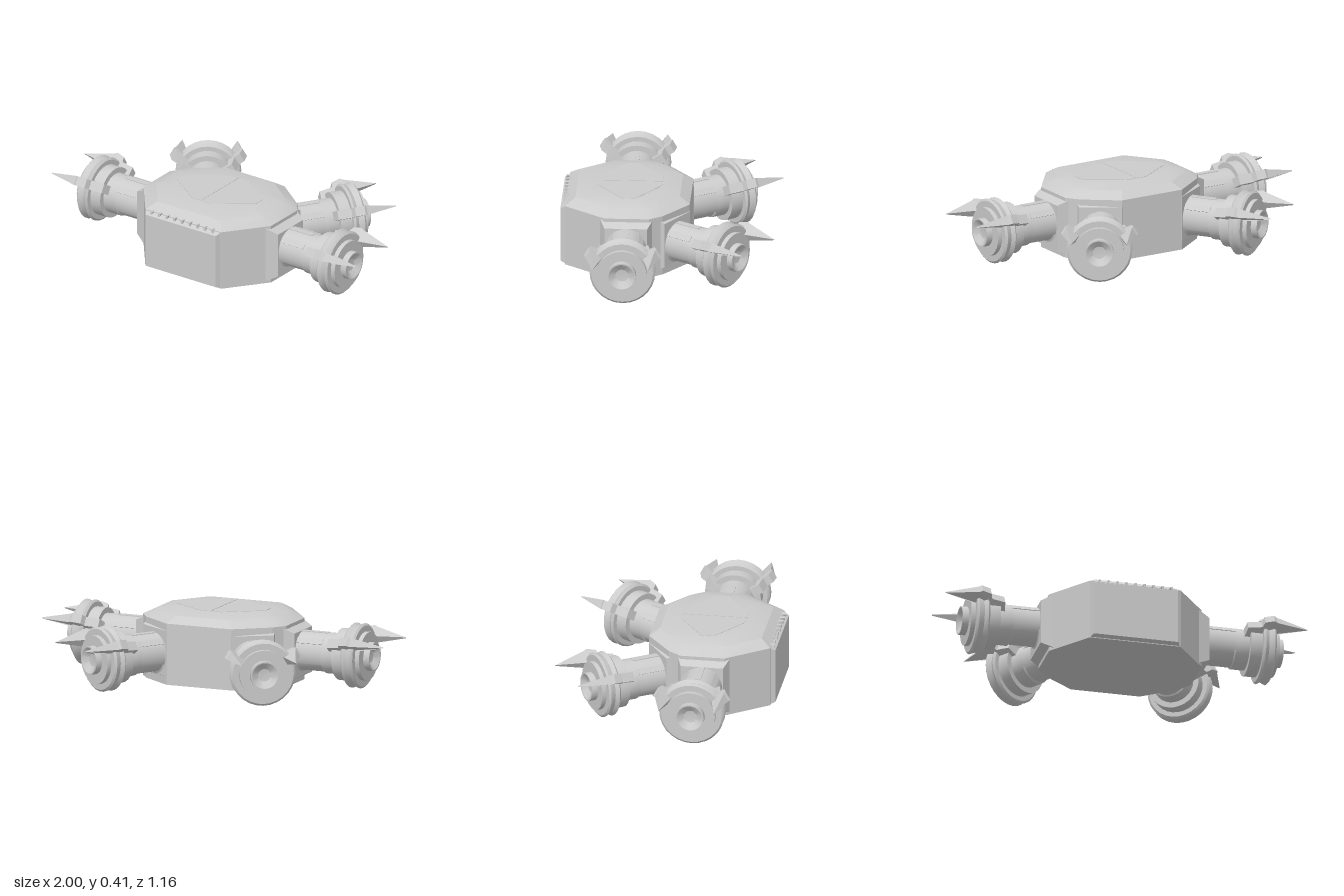
import * as THREE from 'three';
import { toCreasedNormals } from 'three/addons/utils/BufferGeometryUtils.js';

const material = new THREE.MeshStandardMaterial({ color: 0xcccccc });

function add(parent, name, geometry) {
  const mesh = new THREE.Mesh(geometry, material);
  mesh.name = name;
  parent.add(mesh);
  return mesh;
}

// Skin over a stack of loops (bottom to top, counterclockwise from above), capped at both ends
function loft(loops) {
  const pos = [];
  const tri = (...pts) => pts.forEach((p) => pos.push(...p));
  const n = loops[0].length;
  const centre = (l) => [0, 1, 2].map((k) => l.reduce((s, p) => s + p[k], 0) / n);
  const first = loops[0], last = loops[loops.length - 1];
  const c0 = centre(first), c1 = centre(last);
  for (let i = 0; i < n; i++) {
    const j = (i + 1) % n;
    for (let k = 0; k < loops.length - 1; k++) {
      const lo = loops[k], hi = loops[k + 1];
      tri(lo[i], lo[j], hi[j], lo[i], hi[j], hi[i]);
    }
    tri(c1, last[i], last[j], c0, first[j], first[i]);
  }
  const g = new THREE.BufferGeometry();
  g.setAttribute('position', new THREE.Float32BufferAttribute(pos, 3));
  return toCreasedNormals(g, 0.3);
}

// Rectangular frustum along +x: rectangles [yMin, yMax, halfWidth] at x0 and x1
function frustum(x0, a, x1, b) {
  const g = new THREE.BoxGeometry(1, 1, 1).toNonIndexed();
  const p = g.attributes.position;
  for (let i = 0; i < p.count; i++) {
    const outer = p.getX(i) > 0;
    const [lo, hi, half] = outer ? b : a;
    p.setXYZ(i, outer ? x1 : x0, p.getY(i) > 0 ? hi : lo, Math.sign(p.getZ(i)) * half);
  }
  g.computeVertexNormals();
  return g;
}

// Solid of revolution about the x axis from [radius, x] pairs
function turned(points) {
  const g = new THREE.LatheGeometry(points.map((p) => new THREE.Vector2(...p)), 28);
  g.rotateZ(-Math.PI / 2);
  return toCreasedNormals(g, 0.45);
}

// Claw: side profile in (length, radius), its thickness shrinking to a point
function clawGeometry() {
  const shape = new THREE.Shape([
    [0.24, 0.10], [0.30, 0.115], [0.40, 0.135], [0.58, 0.172], [0.40, 0.215],
    [0.385, 0.225], [0.335, 0.21], [0.325, 0.178], [0.25, 0.165],
  ].map((p) => new THREE.Vector2(...p)));
  const g = new THREE.ExtrudeGeometry(shape, { depth: 1, bevelEnabled: false });
  g.translate(0, 0, -0.5);
  const p = g.attributes.position;
  for (let i = 0; i < p.count; i++) {
    const s = p.getX(i);
    p.setZ(i, p.getZ(i) * (s > 0.45 ? 0.006 : 0.05));
  }
  g.computeVertexNormals();
  return g;
}

// One arm pointing along +x, its axis at local y = 0
function makeArm(name, drop) {
  const arm = new THREE.Group();
  arm.name = name;

  // Bevelled mount against the hull
  const low = 0.017 - drop, high = 0.35 - drop;
  add(arm, 'mountPlate', frustum(-0.04, [low, high, 0.15], 0.045, [low + 0.045, high - 0.04, 0.115]));

  // Barrel, collar, stepped grooved flange and dished cap
  add(arm, 'barrel', turned([
    [0, 0], [0.112, 0], [0.112, 0.045], [0.102, 0.05], [0.102, 0.19], [0.11, 0.195], [0.11, 0.27],
  ]));
  add(arm, 'flange', turned([
    [0.1, 0.27], [0.14, 0.27], [0.14, 0.335], [0.165, 0.335], [0.176, 0.345], [0.163, 0.365],
    [0.176, 0.395], [0.165, 0.405], [0.132, 0.405], [0.132, 0.43], [0.077, 0.43],
  ]));
  add(arm, 'cap', turned([
    [0.077, 0.42], [0.077, 0.465], [0.07, 0.465], [0.034, 0.44], [0, 0.436],
  ]));

  // Smooth underside and ribs across the top of the barrel
  const lower = new THREE.CylinderGeometry(0.11, 0.11, 0.15, 20, 1, true, Math.PI / 2 + 1.1, Math.PI * 2 - 2.2);
  lower.rotateZ(-Math.PI / 2).rotateX(0);
  const under = add(arm, 'barrelUnderside', lower);
  under.position.x = 0.12;
  // The opening in the shell faces up
  under.rotation.x = 0;
  const mid = new THREE.Vector3(0, 0, 0);
  const lp = lower.attributes.position;
  for (let i = 0; i < lp.count; i++) mid.add(new THREE.Vector3(0, lp.getY(i), lp.getZ(i)));
  under.rotation.x = Math.atan2(-mid.z, -mid.y) + Math.PI;
  for (const angle of [-0.85, 0, 0.85]) {
    const rib = add(arm, 'barrelRib', new THREE.BoxGeometry(0.15, 0.024, 0.034).translate(0.12, 0.1, 0));
    rib.rotation.x = angle;
  }

  // Two claws on the upper sides
  for (const side of [-1, 1]) {
    add(arm, 'claw', clawGeometry()).rotation.x = side * 1.05;
  }
  return arm;
}

export function createModel() {
  const model = new THREE.Group();
  model.name = 'fourArmedCraft';

  // Faceted hull with a two-step domed roof
  const half = [[0.25, 0.55], [0.42, 0.33], [0.42, 0.09], [0.37, 0.02], [0.19, -0.115]];
  const outline = [...half, ...half.map(([x, z]) => [-x, z]).reverse()];
  const level = (y, sx, sz) => outline.map(([x, z]) => [x * sx, y, 0.22 + (z - 0.22) * sz]);
  add(model, 'hull', loft([
    level(0.016, 1, 1), level(0.35, 1, 1), level(0.386, 0.83, 0.84), level(0.404, 0.64, 0.54),
  ]));

  // Raised front panel with bevelled edges
  const front = add(model, 'frontPanel',
    frustum(0.54, [0.016, 0.35, 0.25], 0.576, [0.03, 0.332, 0.232]));
  front.rotation.y = -Math.PI / 2;

  // Row of slanted vents along the front brow
  for (let i = -4; i <= 4; i++) {
    const vent = add(model, 'vent', new THREE.BoxGeometry(0.012, 0.022, 0.024));
    vent.position.set(i * 0.05, 0.346, 0.553);
    vent.rotation.z = i * 0.1;
  }

  // Two-leaf roof hatch, parted along the middle
  for (const side of [-1, 1]) {
    const leaf = new THREE.Shape([
      [0.003, 0.04], [0.06, 0.04], [0.26, 0.175], [0.26, 0.245], [0.06, 0.385], [0.003, 0.385],
    ].map(([x, z]) => new THREE.Vector2(side * x, -z)));
    const g = new THREE.ExtrudeGeometry(leaf, { depth: 0.012, bevelEnabled: false });
    add(model, 'hatchLeaf', g.rotateX(-Math.PI / 2).translate(0, 0.394, 0));
  }

  // Side and rear arms, mirrored left to right
  for (const side of [1, -1]) {
    const label = side > 0 ? 'left' : 'right';
    const sideArm = makeArm(label + 'SideArm', 0.197);
    sideArm.position.set(side * 0.42, 0.197, 0.213);
    sideArm.rotation.y = side > 0 ? 0 : Math.PI;
    const rearArm = makeArm(label + 'RearArm', 0.175);
    rearArm.position.set(side * 0.262, 0.175, -0.016);
    rearArm.rotation.y = side > 0 ? 0.99 : Math.PI - 0.99;
    model.add(sideArm, rearArm);
  }
  return model;
}
